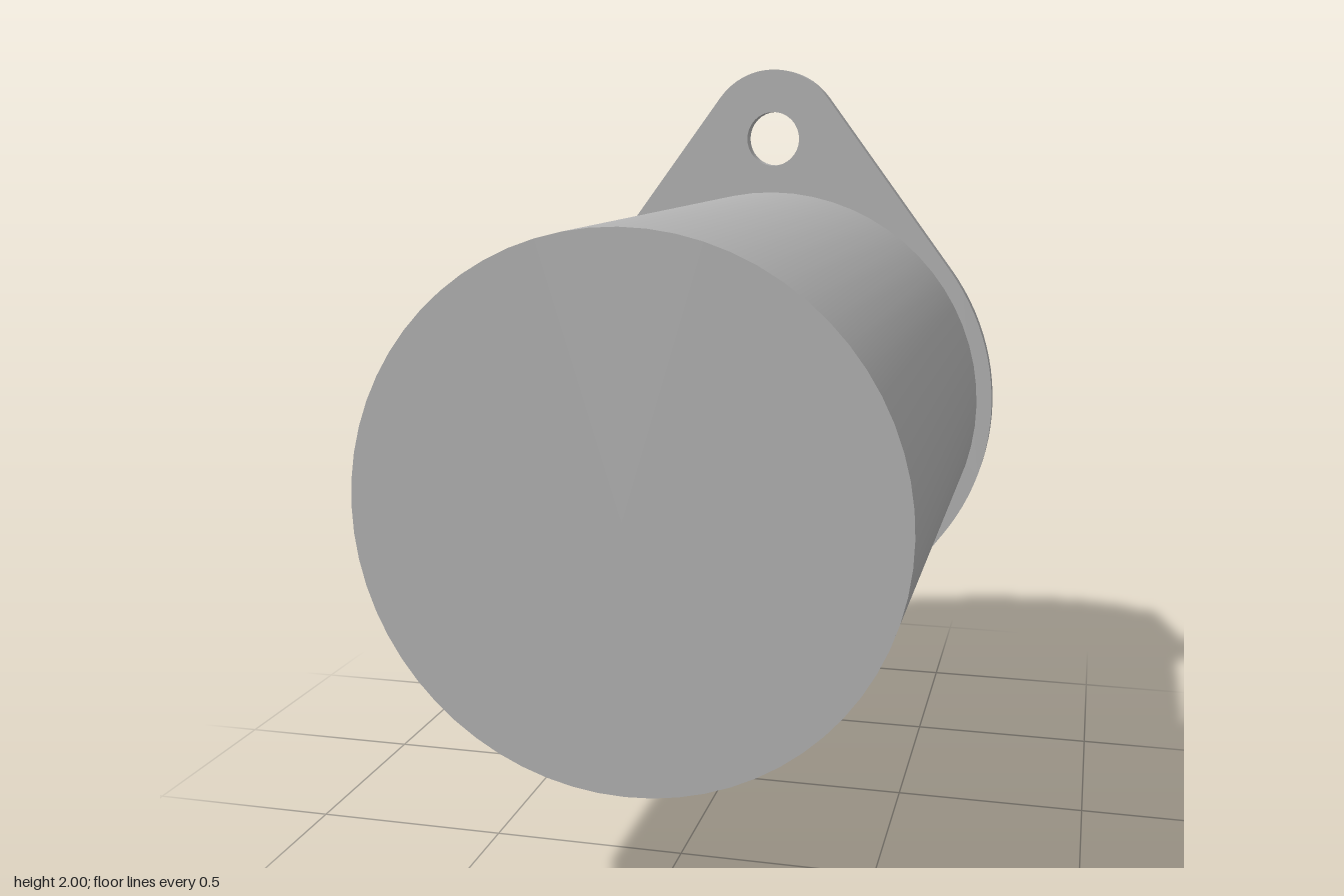
import * as THREE from 'three';
import { toCreasedNormals } from 'three/addons/utils/BufferGeometryUtils.js';

const BORE = 0.263, FLANGE_BACK = -0.66, FLANGE_FRONT = -0.615, END = 0.975;

// points of an arc about (cx, cy)
function arc(cx, cy, r, start, end, sides) {
  return Array.from({ length: sides + 1 }, (_, i) => {
    const a = start + (end - start) * i / sides;
    return new THREE.Vector2(cx + r * Math.cos(a), cy + r * Math.sin(a));
  });
}

function ring(cx, cy, r, sides, start = 0) {
  return arc(cx, cy, r, start, start + Math.PI * 2, sides).slice(0, sides);
}

// plate with holes, running from z0 to z1
function plate(outline, holes, z0, z1) {
  const shape = new THREE.Shape(outline);
  holes.forEach(h => shape.holes.push(new THREE.Path(h)));
  const geo = new THREE.ExtrudeGeometry(shape, { depth: z1 - z0, bevelEnabled: false });
  geo.translate(0, 0, z0);
  return toCreasedNormals(geo, 0.5);
}

export function createModel() {
  const model = new THREE.Group();
  const grey = new THREE.MeshStandardMaterial({ color: 0xb3b3b3 });
  grey.name = 'plain grey';

  const add = (name, geo) => {
    const mesh = new THREE.Mesh(geo, grey);
    mesh.name = name;
    mesh.position.y = 1;
    model.add(mesh);
  };

  // main cylindrical housing
  const length = END - FLANGE_FRONT;
  const body = new THREE.CylinderGeometry(0.635, 0.635, length, 64);
  body.rotateX(Math.PI / 2);
  body.translate(0, 0, (END + FLANGE_FRONT) / 2);
  add('housing', body);

  // mounting flange: large side arcs joined by tangents to small end arcs
  const R = 0.68, r = 0.205, c = 0.795;
  const t = Math.asin((R - r) / c);
  const outline = [
    ...arc(0, 0, R, -t, t, 24),
    ...arc(0, c, r, t, Math.PI - t, 16),
    ...arc(0, 0, R, Math.PI - t, Math.PI + t, 24),
    ...arc(0, -c, r, Math.PI + t, Math.PI * 2 - t, 16),
  ];
  const boltHoles = [c, -c].map(y => ring(0, y, 0.08, 32));
  add('mountingFlange', plate(outline, [...boltHoles, ring(0, 0, BORE, 32)], FLANGE_BACK, FLANGE_FRONT));

  // rear collar with central bore and a circle of pin holes
  const pins = 15;
  const pinHoles = Array.from({ length: pins }, (_, i) => {
    const a = i / pins * Math.PI * 2;
    return ring(0.44 * Math.cos(a), 0.44 * Math.sin(a), 0.04, 16);
  });
  add('rearCollar', plate(ring(0, 0, 0.59, 25, Math.PI), [ring(0, 0, BORE, 32), ...pinHoles], -0.975, FLANGE_BACK));

  return model;
}
